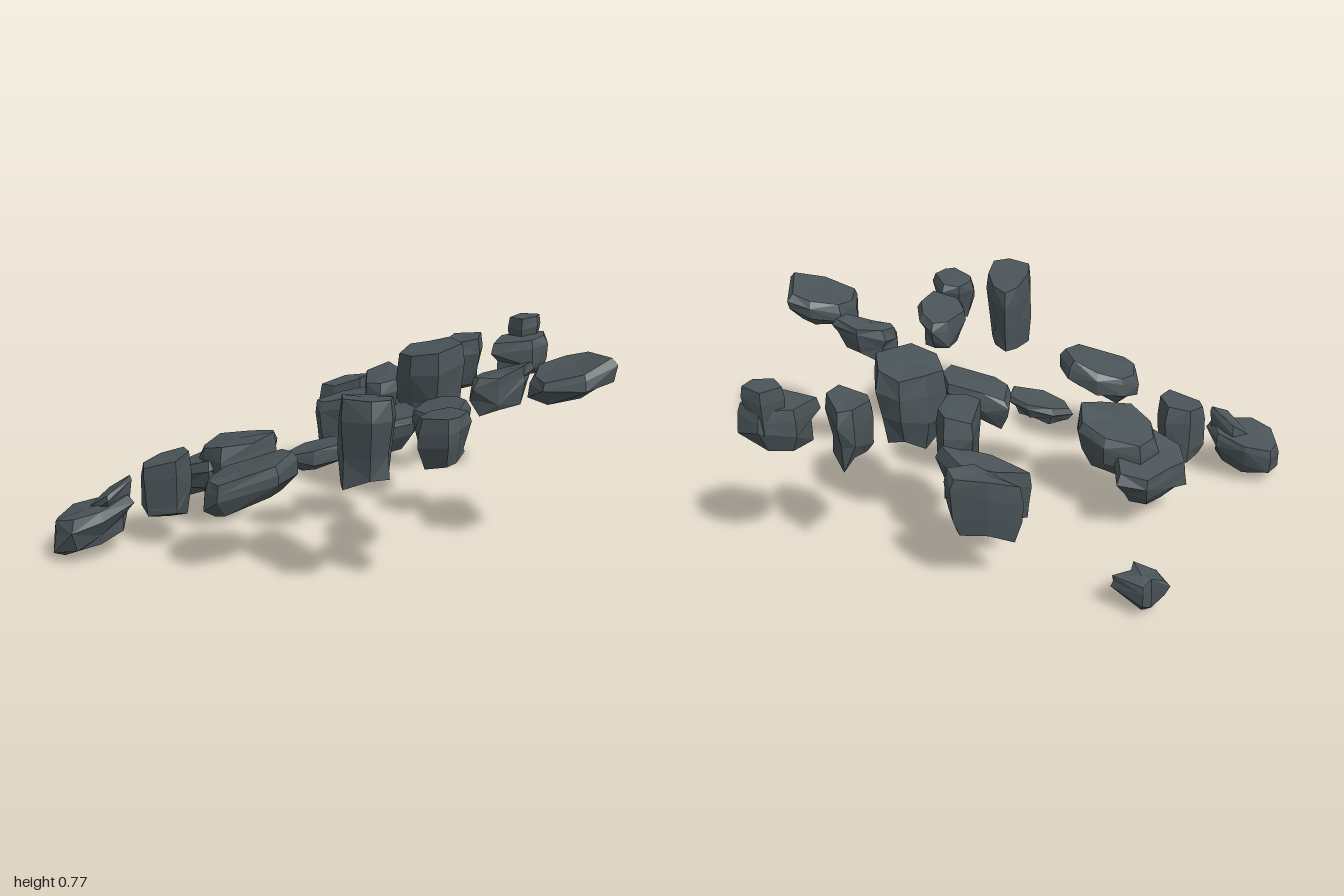
import * as THREE from 'three';

export function createModel() {
  const group = new THREE.Group();
  group.name = 'floatingRocks';
  const stone = new THREE.MeshStandardMaterial({ color: 0x4a5458 });
  stone.name = 'slate stone';

  // seeded noise in -1..1
  let seed = 7;
  const noise = () => {
    seed = (seed * 16807) % 2147483647;
    return (seed / 2147483647) * 2 - 1;
  };

  // Broken stone: plan outline [x, z], floor and crown heights, slope along x and z,
  // roughness and width of the underside
  function rock(name, outline, y0, y1, slopeX = 0.2, slopeZ = 0, rough = 0.12, foot = 0.62) {
    const n = outline.length;
    const xs = outline.map(p => p[0]), zs = outline.map(p => p[1]);
    const min = [Math.min(...xs), y0, Math.min(...zs)];
    const max = [Math.max(...xs), y1, Math.max(...zs)];
    const cx = (min[0] + max[0]) / 2, cz = (min[2] + max[2]) / 2;
    const h = Math.max(y1 - y0 - Math.abs(slopeX) * (max[0] - min[0]) * 0.8, 0.07);
    const levels = [[0, foot, 1.2], [0.32, 0.92, 1.6], [0.74, 1, 0.35], [1, 0.91, 0.6]];
    const pos = [], index = [];

    // stacked, roughened cross-sections
    levels.forEach(([t, s, wild]) => {
      const r = rough * wild;
      outline.forEach(([x, z]) => {
        const f = Math.min(s * (1 + noise() * r), 1.04);
        const px = (x - cx) * f, pz = (z - cz) * f;
        pos.push(cx + px, t * h + px * slopeX + pz * slopeZ + noise() * r * h, cz + pz);
      });
    });
    for (let k = 0; k < levels.length - 1; k++) {
      for (let i = 0; i < n; i++) {
        const a = k * n + i, b = k * n + (i + 1) % n;
        if ((i + k) % 2) index.push(b, a, a + n, b, a + n, b + n);
        else index.push(b, a, b + n, a, a + n, b + n);
      }
    }
    // crown and underside
    const base = 4 * n;
    pos.push(cx, -0.05 * h, cz, cx + noise() * 0.02, h * 1.02, cz + noise() * 0.02);
    for (let i = 0; i < n; i++) {
      const j = (i + 1) % n;
      index.push(base, i, j, base + 1, 3 * n + j, 3 * n + i);
    }

    // fit exactly between the given limits
    for (let c = 0; c < 3; c++) {
      let lo = Infinity, hi = -Infinity;
      for (let i = c; i < pos.length; i += 3) {
        lo = Math.min(lo, pos[i]);
        hi = Math.max(hi, pos[i]);
      }
      for (let i = c; i < pos.length; i += 3) {
        pos[i] = min[c] + (pos[i] - lo) / (hi - lo) * (max[c] - min[c]);
      }
    }
    const indexed = new THREE.BufferGeometry();
    indexed.setAttribute('position', new THREE.Float32BufferAttribute(pos, 3));
    indexed.setIndex(index);
    const geometry = indexed.toNonIndexed(); // faceted normals
    geometry.computeVertexNormals();
    const mesh = new THREE.Mesh(geometry, stone);
    mesh.name = name;
    group.add(mesh);
  }

  // Low end
  rock('lowChip', [[-.56, -.7], [-.5, -.71], [-.47, -.76], [-.36, -.7], [-.42, -.66], [-.43, -.63], [-.52, -.63]], 0, .15, .1, 0, .2, .45);
  rock('endBoulder', [[-1, .28], [-.96, .18], [-.85, .16], [-.74, .21], [-.7, .28], [-.79, .38], [-.9, .43], [-.98, .37]], .02, .23, .3, 0, .16, .65);
  rock('endBoulderSpike', [[-.88, .27], [-.8, .21], [-.71, .26], [-.78, .35]], .1, .3, .75, 0, .12, .8);
  rock('tallLowStone', [[-.69, .2], [-.63, .12], [-.53, .1], [-.5, .19], [-.54, .28], [-.67, .26]], .11, .37, .15, 0, .1, .85);
  rock('broadSlabBase', [[-.62, -.08], [-.56, -.16], [-.47, -.27], [-.36, -.28], [-.33, -.1], [-.35, .05], [-.45, .1], [-.6, .03]], .1, .31, .3, .15, .12, .7);
  rock('broadSlabTop', [[-.51, -.07], [-.44, -.17], [-.3, -.17], [-.2, -.08], [-.19, .04], [-.27, .11], [-.4, .14], [-.48, .04]], .15, .4, .25, .08, .12, .7);
  rock('frontLeftSlab', [[-.42, .4], [-.36, .32], [-.25, .3], [-.13, .33], [-.09, .42], [-.15, .53], [-.36, .56], [-.41, .5]], .23, .45, .34, 0, .12, .7);

  // Middle
  rock('middleChip', [[-.17, .1], [-.1, .04], [0, .03], [.08, .06], [.07, .16], [-.05, .19], [-.14, .16]], .28, .4, .25);
  rock('middleStone', [[.06, -.07], [.16, -.07], [.3, -.06], [.35, .04], [.33, .14], [.13, .14], [.07, .08]], .31, .5, .25, 0, .12, .7);
  rock('rearSliver', [[-.06, -.63], [.05, -.67], [.18, -.68], [.21, -.63], [.12, -.56], [0, -.59]], .19, .47, .25, 0, .08, .8);
  rock('rearSlab', [[-.07, -.48], [.04, -.54], [.18, -.55], [.27, -.46], [.2, -.42], [.08, -.41], [-.05, -.45]], .2, .46, .25, 0, .08, .85);
  rock('rearWedge', [[.14, -.43], [.24, -.46], [.28, -.38], [.27, -.22], [.2, -.18], [.14, -.22]], .28, .56, .2, 0, .1, .75);
  rock('largeBlock', [[.26, -.24], [.31, -.34], [.4, -.4], [.49, -.37], [.53, -.22], [.42, -.08], [.31, -.13]], .36, .69, .15, 0, .08, .75);
  rock('frontPillar', [[.05, .6], [.09, .5], [.14, .44], [.2, .5], [.24, .6], [.23, .72], [.16, .76], [.06, .7]], .4, .72, .08, .22, .08, .85);

  // High end
  rock('frontRightSlab', [[.3, .42], [.35, .28], [.41, .24], [.47, .3], [.5, .42], [.46, .55], [.34, .54]], .47, .64, .25, .1, .12, .7);
  rock('frontRightStone', [[.3, .65], [.35, .57], [.42, .55], [.48, .66], [.44, .73], [.4, .76], [.31, .7]], .48, .67, .2, 0, .12, .75);
  rock('highChip', [[.52, .13], [.55, .07], [.66, .04], [.76, .07], [.72, .13], [.62, .17], [.53, .16]], .5, .69, .3, 0, .16, .75);
  rock('highSlab', [[.71, .27], [.75, .16], [.86, .12], [.95, .13], [1, .35], [.88, .44], [.74, .4]], .6, .77, .3, 0, .12, .7);
  rock('rearHighStone', [[.47, -.5], [.51, -.6], [.56, -.63], [.63, -.52], [.61, -.42], [.49, -.44]], .41, .67, .2, 0, .12, .75);
  rock('rearEndBoulder', [[.66, -.47], [.71, -.6], [.82, -.66], [.91, -.61], [.9, -.5], [.83, -.44]], .47, .66, .15, 0, .11, .75);
  rock('rearEndBoulderCap', [[.74, -.59], [.8, -.66], [.88, -.62], [.86, -.56], [.79, -.53]], .54, .73, .1, 0, .06, .9);

  return group;
}
